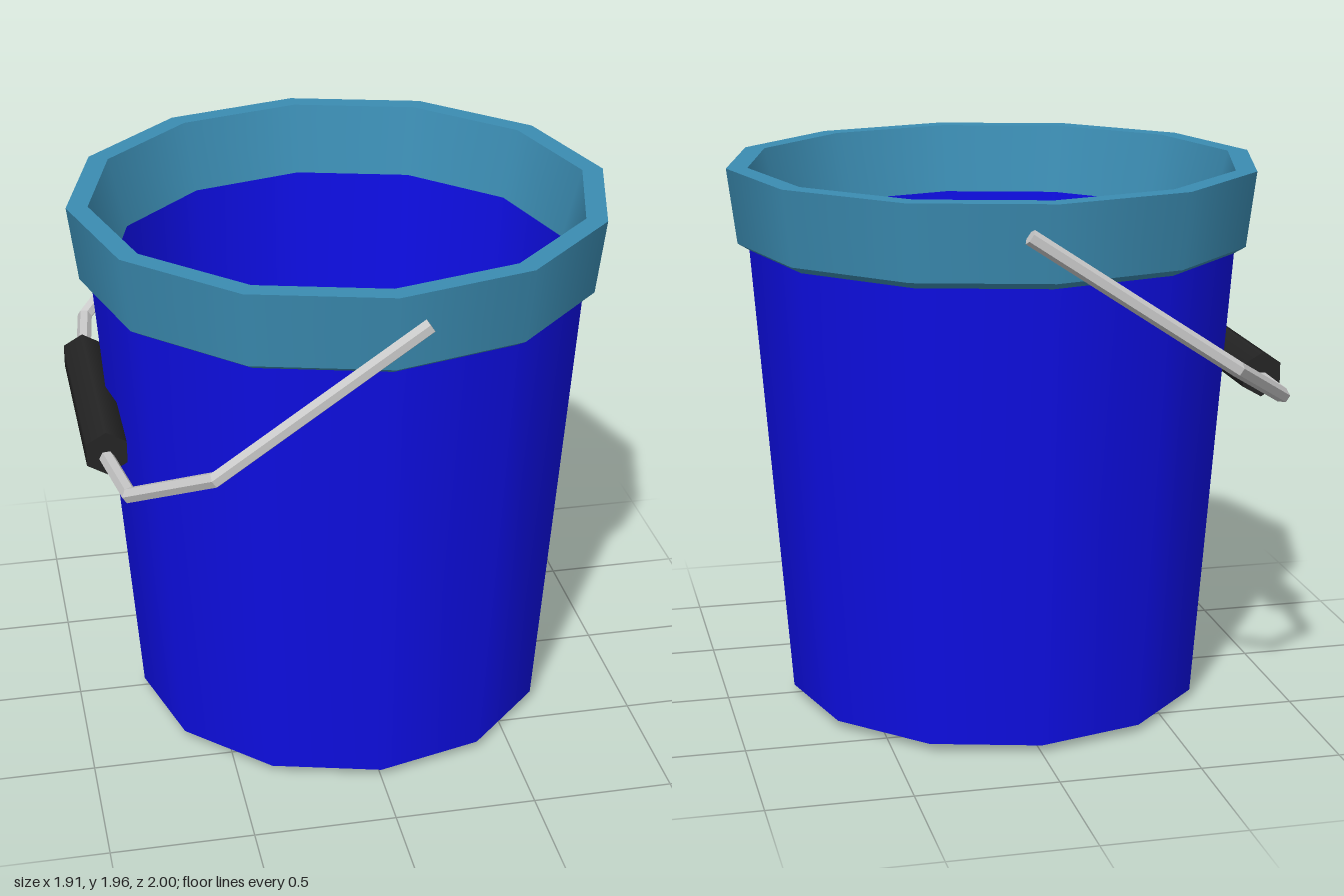
import * as THREE from 'three';

const SIDES = 12;
const blue = new THREE.MeshStandardMaterial({ color: 0x0e0ee4 });
blue.name = 'bucketBlue';
const teal = new THREE.MeshStandardMaterial({ color: 0x3b8cb2 });
teal.name = 'rimTeal';
const grey = new THREE.MeshStandardMaterial({ color: 0xc8c8c8, flatShading: true });
grey.name = 'wireGrey';
const black = new THREE.MeshStandardMaterial({ color: 0x242424 });
black.name = 'gripBlack';

// One ring of faces between two profile points, smooth around and creased at its ends
function band(group, name, material, from, to) {
  const points = [new THREE.Vector2(...from), new THREE.Vector2(...to)];
  const mesh = new THREE.Mesh(new THREE.LatheGeometry(points, SIDES), material);
  mesh.name = name;
  group.add(mesh);
}

// Bar with mitred corners along a path of [x, z] points
function mitredBar(path, radius, sides) {
  const pts = path.map(([x, z]) => new THREE.Vector2(x, z));
  const pos = [], index = [];
  const last = pts.length - 1;
  pts.forEach((p, k) => {
    const before = p.clone().sub(pts[Math.max(k - 1, 0)]).normalize();
    const after = pts[Math.min(k + 1, last)].clone().sub(p).normalize();
    const t = before.clone().add(after).normalize();
    const widen = 1 / t.dot(k < last ? after : before);
    for (let i = 0; i < sides; i++) {
      const a = (i + 0.5) / sides * Math.PI * 2;
      const m = Math.cos(a) * radius * widen;
      pos.push(p.x + t.y * m, Math.sin(a) * radius, p.y - t.x * m);
      const j = (i + 1) % sides, r = k * sides;
      if (k < last) {
        index.push(r + i, r + j, r + sides + i, r + j, r + sides + j, r + sides + i);
      }
    }
  });
  // End caps
  for (let i = 1; i < sides - 1; i++) {
    const r = last * sides;
    index.push(0, i + 1, i, r, r + i, r + i + 1);
  }
  const geometry = new THREE.BufferGeometry();
  geometry.setAttribute('position', new THREE.Float32BufferAttribute(pos, 3));
  geometry.setIndex(index);
  const flat = geometry.toNonIndexed();
  flat.computeVertexNormals();
  return flat;
}

export function createModel() {
  const model = new THREE.Group();
  model.name = 'bucket';

  // Tapered body with a slightly bulging base and a hollow inside
  const body = new THREE.Group();
  body.name = 'body';
  band(body, 'base', blue, [0, 0], [0.755, 0.03]);
  band(body, 'outerWall', blue, [0.755, 0.03], [0.876, 1.67]);
  band(body, 'innerWall', blue, [0.812, 1.71], [0.695, 0.08]);
  band(body, 'floor', blue, [0.695, 0.08], [0, 0.08]);
  model.add(body);

  // Thick flared rim
  const rim = new THREE.Group();
  rim.name = 'rim';
  band(rim, 'rimUnderside', teal, [0.876, 1.67], [0.917, 1.695]);
  band(rim, 'rimOutside', teal, [0.917, 1.695], [0.95, 1.96]);
  band(rim, 'rimTop', teal, [0.95, 1.96], [0.875, 1.96]);
  band(rim, 'rimInside', teal, [0.875, 1.96], [0.812, 1.71]);
  model.add(rim);

  // Carrying handle, hinged at the rim and hanging to one side
  const handle = new THREE.Group();
  handle.name = 'handle';
  const half = [[0, 0.955], [-0.84, 0.974], [-1.14, 0.72], [-1.19, 0.38]];
  const path = [...half.map(([x, z]) => [x, -z]), ...half.slice().reverse()];
  const wire = new THREE.Mesh(mitredBar(path, 0.027, 6), grey);
  wire.name = 'handleWire';
  handle.add(wire);
  handle.position.set(0.1, 1.86, 0);
  handle.rotation.z = Math.atan2(0.66, 0.99);
  model.add(handle);

  // Six-sided grip around the middle of the wire
  const grip = new THREE.Mesh(new THREE.CylinderGeometry(0.08, 0.08, 0.8, 6), black);
  grip.name = 'grip';
  grip.rotation.x = Math.PI / 2;
  grip.position.set(-0.888, 1.218, 0);
  model.add(grip);

  return model;
}
